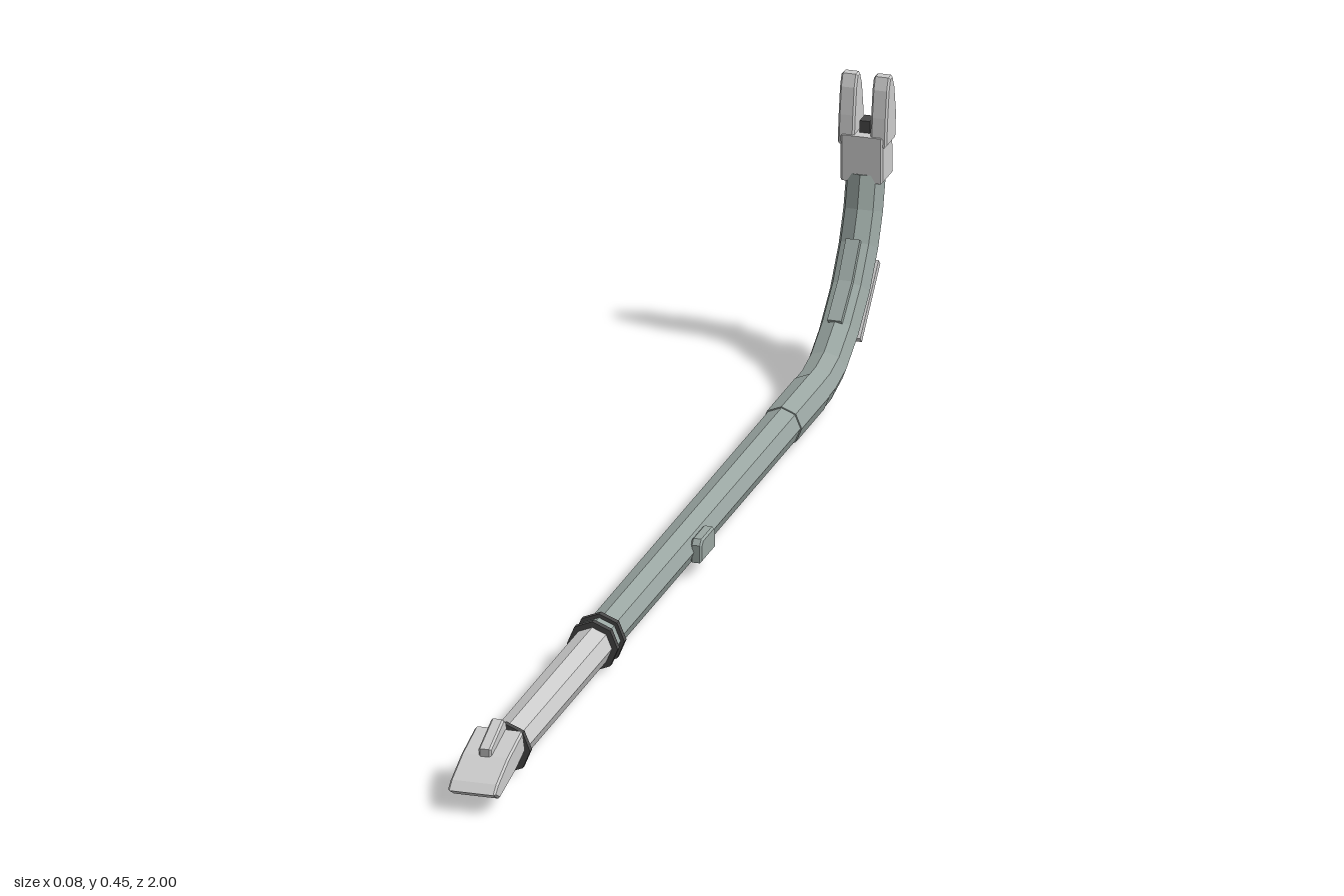
import * as THREE from 'three';

const steel = new THREE.MeshStandardMaterial({ color: 0xcccccc, flatShading: true });
const paint = new THREE.MeshStandardMaterial({ color: 0x9aa6a2, flatShading: true });
const dark = new THREE.MeshStandardMaterial({ color: 0x484848, flatShading: true });
const AXIS_Y = 0.043;

// Sweep a counter-clockwise (x, normal) profile along [z, y] points
function sweep(path, profile) {
  const pos = [], idx = [], n = profile.length, last = path.length - 1;
  path.forEach(([z, y], i) => {
    const a = path[Math.max(i - 1, 0)], b = path[Math.min(i + 1, last)];
    const len = Math.hypot(b[0] - a[0], b[1] - a[1]);
    const nz = (b[1] - a[1]) / len, ny = -(b[0] - a[0]) / len;
    for (const [u, v] of profile) pos.push(u, y + ny * v, z + nz * v);
  });
  for (let i = 0; i < last; i++) {
    for (let j = 0; j < n; j++) {
      const a = i * n + j, b = i * n + (j + 1) % n;
      idx.push(a, a + n, b, b, a + n, b + n);
    }
  }
  for (let j = 1; j < n - 1; j++) {
    idx.push(0, j, j + 1, last * n, last * n + j + 1, last * n + j);
  }
  const g = new THREE.BufferGeometry();
  g.setAttribute('position', new THREE.Float32BufferAttribute(pos, 3));
  g.setIndex(idx);
  const flat = g.toNonIndexed();
  flat.computeVertexNormals();
  return flat;
}

const octagon = (r) => Array.from({ length: 8 }, (_, k) => {
  const t = k * Math.PI / 4;
  return [r * Math.cos(t), r * Math.sin(t)];
});
const rectangle = (w, low, high) => [[-w, low], [w, low], [w, high], [-w, high]];

// Extrude a [z, y] side outline across x, with bevelled edges
function sidePlate(points, width, bevel = 0.003) {
  const shape = new THREE.Shape(points.map(([z, y]) => new THREE.Vector2(z, y)));
  const depth = width - 2 * bevel;
  return new THREE.ExtrudeGeometry(shape, {
    depth, bevelEnabled: true, bevelSize: bevel, bevelOffset: -bevel, bevelThickness: bevel, bevelSegments: 1,
  }).translate(0, 0, -depth / 2).rotateY(-Math.PI / 2);
}

export function createModel() {
  const model = new THREE.Group();
  model.name = 'pryBar';
  const add = (name, geometry, material, x = 0, y = 0, z = 0) => {
    const mesh = new THREE.Mesh(geometry, material);
    mesh.name = name;
    mesh.position.set(x - 0.002, y, z);
    model.add(mesh);
    return mesh;
  };
  const rod = (name, r, z0, z1, material) => add(name,
    new THREE.CylinderGeometry(r, r, z1 - z0, 8).rotateX(Math.PI / 2), material, 0, AXIS_Y, (z0 + z1) / 2);

  // Straight shaft, grip and binding rings
  rod('shaft', 0.03, -0.56, 0.4, paint);
  rod('collar', 0.034, 0.36, 0.39, paint);
  rod('grip', 0.031, 0.39, 0.84, steel);
  rod('shaftEnd', 0.03, 0.84, 0.895, steel);
  for (const z of [0.358, 0.392, 0.828]) rod('ring', 0.04, z - 0.005, z + 0.005, dark);

  // Sleeve and curved neck
  rod('sleeve', 0.032, -0.685, -0.545, paint);
  const curve = [[-0.67, 0.043], [-0.72, 0.044], [-0.77, 0.055], [-0.83, 0.088],
    [-0.886, 0.135], [-0.928, 0.19], [-0.952, 0.24], [-0.966, 0.293]];
  add('neck', sweep(curve, octagon(0.031)), paint);
  add('innerRib', sweep(curve.slice(3, 6), rectangle(0.011, 0.02, 0.035)), paint);

  // Plate on the outside of the bend
  const plate = add('heelPlate', new THREE.BoxGeometry(0.048, 0.012, 0.13), steel, 0, 0.11, -0.911);
  plate.rotation.x = Math.PI / 4;

  // Forked claw
  add('clawBase', sidePlate([[-0.996, 0.287], [-0.942, 0.287], [-0.942, 0.36], [-0.992, 0.36]], 0.067), steel);
  const prong = [[-0.992, 0.345], [-0.944, 0.345], [-0.949, 0.39], [-0.956, 0.432],
    [-0.964, 0.451], [-0.978, 0.451], [-0.988, 0.43], [-0.996, 0.385]];
  for (const side of [-1, 1]) add('clawProng', sidePlate(prong, 0.026), steel, side * 0.0255);
  add('clawNotch', new THREE.BoxGeometry(0.016, 0.03, 0.025), dark, 0, 0.364, -0.972);

  // Flat chisel end
  add('chisel', sidePlate([[1, 0.034], [0.985, 0.046], [0.93, 0.068], [0.86, 0.085],
    [0.848, 0.05], [0.9, 0.034], [0.975, 0.02]], 0.075), steel);
  add('chiselRib', sidePlate([[0.932, 0.066], [0.934, 0.08], [0.868, 0.104], [0.855, 0.096], [0.85, 0.07]], 0.02), steel);

  // Small block on the left side of the shaft
  add('sideBlock', sidePlate([[-0.085, 0.027], [-0.014, 0.027], [-0.014, 0.055],
    [-0.022, 0.063], [-0.077, 0.063], [-0.085, 0.055]], 0.018), paint, 0.033);

  return model;
}
